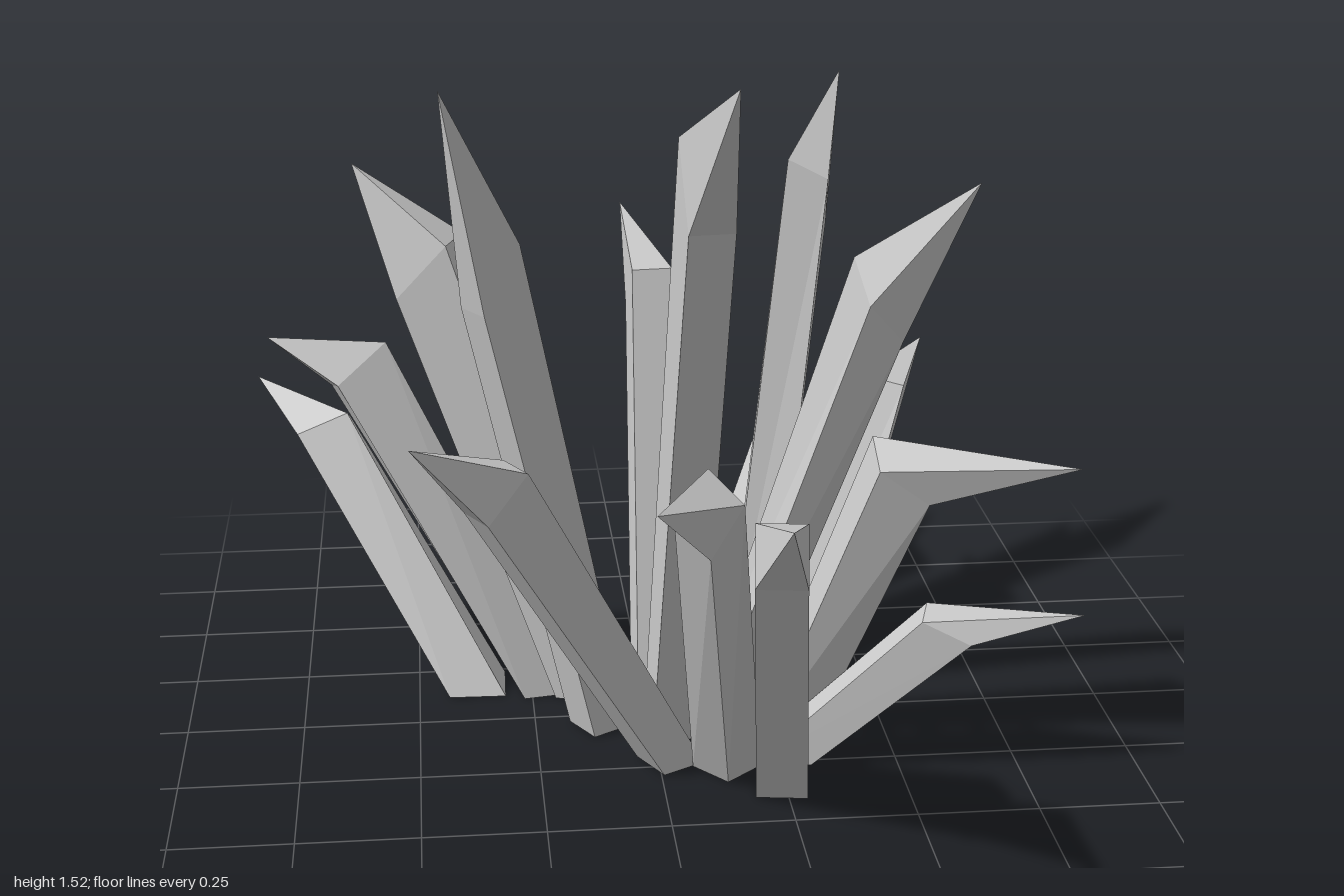
import * as THREE from 'three';

const SIDES = 4;
const TAPER = 0.92;

// One row per crystal: half width, twist in degrees | foot x, z | shoulder x, y, z | tip x, y, z
const RIGHT = [
  [0.062, -45, -0.37, -0.175, -0.70, 0.53, -0.46, -0.86, 0.575, -0.69],
  [0.058, 20, -0.22, -0.16, -0.61, 0.745, -0.25, -0.805, 0.805, -0.27],
  [0.062, 0, -0.12, -0.13, -0.45, 0.965, -0.24, -0.61, 1.18, -0.30],
  [0.047, 35, -0.14, -0.23, -0.31, 0.76, -0.51, -0.55, 0.87, -0.78],
  [0.05, 0, 0.025, 0.22, -0.335, 0.69, 0.405, -0.50, 0.825, 0.515],
  [0.047, 0, -0.11, 0.04, -0.33, 1.05, 0.14, -0.425, 1.445, 0.23],
];
const MIDDLE = [
  [0.05, -30, 0.14, 0.26, 0.05, 0.735, 0.66, -0.065, 0.81, 0.845],
  [0.05, 0, 0.04, 0.085, 0.073, 1.29, 0.395, 0.10, 1.525, 0.645],
  [0.053, 0, 0.243, 0.355, 0.17, 0.69, 0.765, 0.155, 0.83, 0.99],
  [0.05, 20, 0.07, -0.11, 0.15, 0.92, -0.265, 0.11, 0.99, -0.52],
  [0.05, 0, 0.04, -0.25, 0.05, 0.82, -0.53, 0.0, 0.97, -0.725],
];
const LEFT = [
  [0.05, 20, 0.25, -0.23, 0.42, 1.025, -0.57, 0.52, 1.27, -0.75],
  [0.043, 45, 0.20, -0.14, 0.48, 0.94, 0.015, 0.665, 1.21, 0.11],
  [0.056, 28, 0.29, 0.08, 0.49, 0.65, 0.255, 0.83, 0.69, 0.385],
  [0.054, 20, 0.37, -0.21, 0.62, 0.53, -0.61, 0.755, 0.58, -0.83],
  [0.055, 0, 0.28, 0.205, 0.59, 0.33, 0.31, 0.855, 0.37, 0.38],
  [0.066, 0, 0.235, -0.505, 0.41, 0.33, -0.76, 0.58, 0.37, -0.995],
];

// Square of corners around a centre, spanned by an outward and a sideways vector
function ring(center, out, side, twist) {
  return Array.from({ length: SIDES }, (_, k) => {
    const a = ((k + 0.5) / SIDES) * Math.PI * 2 + twist;
    return center.clone()
      .addScaledVector(out, Math.SQRT2 * Math.cos(a))
      .addScaledVector(side, Math.SQRT2 * Math.sin(a));
  });
}

// Leaning four-sided shaft with a bent, pointed end
function crystalGeometry([half, degrees, bx, bz, sx, sy, sz, tx, ty, tz]) {
  const foot = new THREE.Vector3(bx, 0, bz);
  const shoulder = new THREE.Vector3(sx, sy, sz);
  const tip = new THREE.Vector3(tx, ty, tz);
  const out = new THREE.Vector3(tx - bx, 0, tz - bz).setLength(half);
  const side = new THREE.Vector3(0, 1, 0).cross(out);
  const twist = THREE.MathUtils.degToRad(degrees);

  const low = ring(foot, out, side, twist);
  // the shoulder drops on its outer side, more so on tall crystals
  out.multiplyScalar(TAPER).setY(-0.065 * sy);
  const high = ring(shoulder, out, side.multiplyScalar(TAPER), twist);

  const points = [];
  for (let k = 0; k < SIDES; k++) {
    const n = (k + 1) % SIDES;
    points.push(low[k], low[n], high[n], low[k], high[n], high[k]); // shaft
    points.push(high[k], high[n], tip); // point
    points.push(low[n], low[k], foot); // underside
  }
  const geometry = new THREE.BufferGeometry().setFromPoints(points);
  geometry.computeVertexNormals();
  return geometry;
}

export function createModel() {
  const model = new THREE.Group();
  model.name = 'crystalCluster';
  const material = new THREE.MeshStandardMaterial({ color: 0xcccccc, flatShading: true });

  const groups = { rightCrystals: RIGHT, middleCrystals: MIDDLE, leftCrystals: LEFT };
  for (const [name, rows] of Object.entries(groups)) {
    const group = new THREE.Group();
    group.name = name;
    rows.forEach((row, i) => {
      const crystal = new THREE.Mesh(crystalGeometry(row), material);
      crystal.name = `crystal${i + 1}`;
      group.add(crystal);
    });
    model.add(group);
  }
  return model;
}
